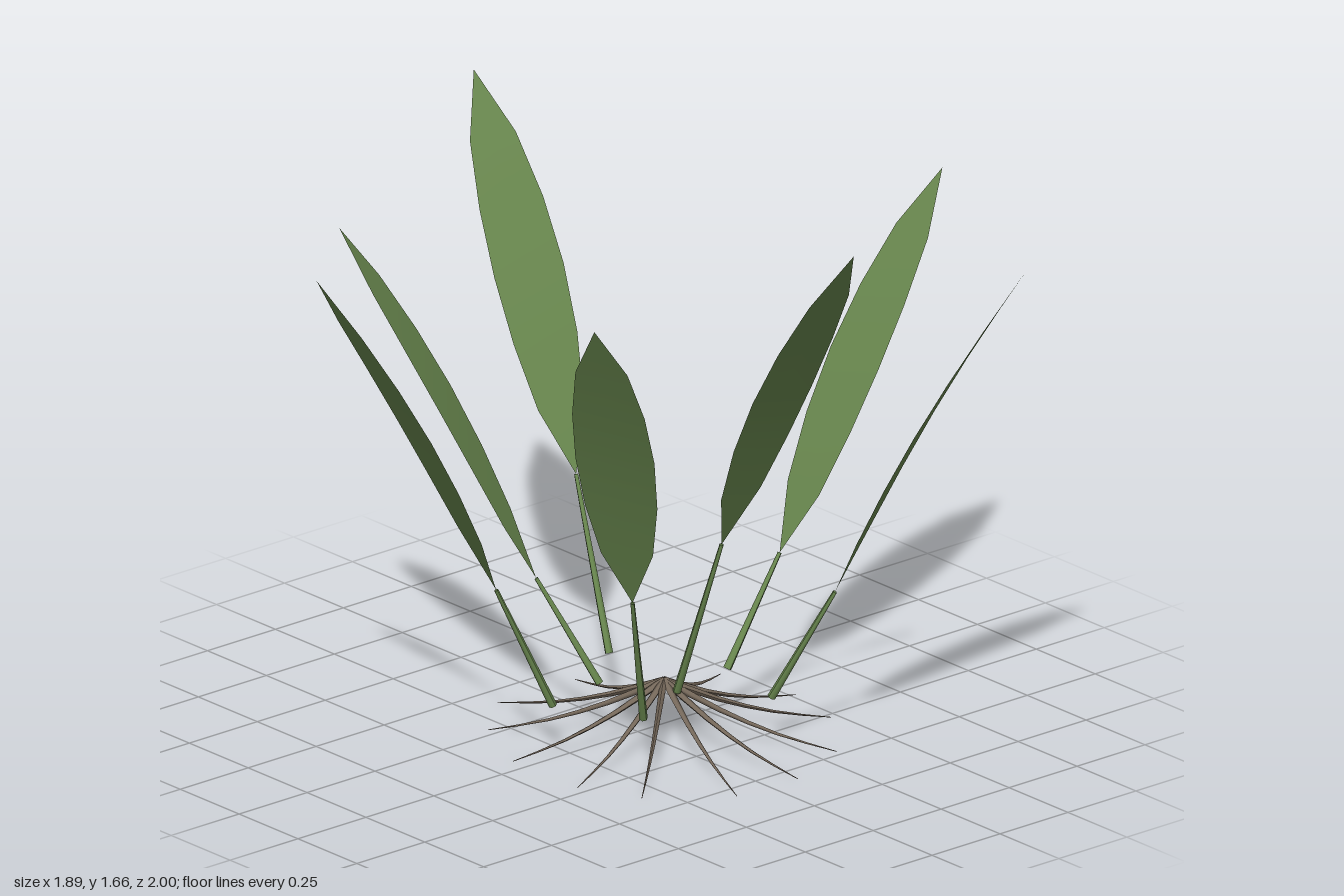
import * as THREE from 'three';

const V = (x, y, z) => new THREE.Vector3(x, y, z);
const UP = V(0, 1, 0);
const CROWN = V(0.06, 0.16, -0.045);

// each leaf: foot of the stalk, base of the blade, tip of the blade
const LEAVES = [
  [[0.08, 0.145, -0.26], [0.095, 0.45, -0.44], [0.14, 1.47, -1.0]],
  [[0.325, 0.145, -0.21], [0.48, 0.48, -0.31], [0.94, 1.5, -0.62]],
  [[0.12, 0.145, -0.04], [0.31, 0.64, -0.04], [0.86, 1.66, -0.05]],
  [[0.215, 0.145, 0.165], [0.33, 0.56, 0.305], [0.67, 1.58, 0.74]],
  [[-0.025, 0.145, 0.29], [-0.07, 0.52, 0.46], [-0.21, 1.54, 1.0]],
  [[-0.07, 0.145, 0.08], [-0.2, 0.45, 0.2], [-0.61, 1.47, 0.57]],
  [[-0.225, 0.145, -0.09], [-0.4, 0.62, -0.12], [-0.95, 1.64, -0.22]],
];

// direction (degrees from +x towards +z) and reach of each root
const ROOTS = [
  [18, 0.52], [48, 0.5], [71, 0.48], [104, 0.47], [134, 0.49], [158, 0.52],
  [190, 0.48], [240, 0.48], [272, 0.47], [296, 0.48], [327, 0.5], [354, 0.51],
];

// tube along a curve whose radius runs from r0 to r1
function taperedTube(curve, segments, r0, r1, sides) {
  const geo = new THREE.TubeGeometry(curve, segments, 1, sides);
  const pos = geo.attributes.position;
  const p = V(0, 0, 0);
  for (let i = 0; i < pos.count; i++) {
    const t = Math.floor(i / (sides + 1)) / segments;
    const c = curve.getPointAt(t);
    p.fromBufferAttribute(pos, i).sub(c).multiplyScalar(r0 + (r1 - r0) * t).add(c);
    pos.setXYZ(i, p.x, p.y, p.z);
  }
  geo.computeVertexNormals();
  return geo;
}

// pointed flat blade, bowed slightly upwards between base and tip
function bladeGeometry(base, tip) {
  const along = tip.clone().sub(base);
  const side = along.clone().cross(UP).normalize();
  const normal = side.clone().cross(along).normalize();
  const geo = new THREE.PlaneGeometry(1, 1, 2, 6);
  const pos = geo.attributes.position;
  for (let i = 0; i < pos.count; i++) {
    const t = pos.getY(i) + 0.5;
    const arch = Math.max(0, Math.sin(Math.PI * t));
    const p = base.clone().addScaledVector(along, t)
      .addScaledVector(normal, 0.025 * arch)
      .addScaledVector(side, pos.getX(i) * 2 * 0.112 * Math.pow(arch, 0.6));
    pos.setXYZ(i, p.x, p.y, p.z);
  }
  geo.computeVertexNormals();
  return geo;
}

export function createModel() {
  const model = new THREE.Group();
  model.name = 'plant';
  const leafMat = new THREE.MeshStandardMaterial({ color: 0x6b8a50, side: THREE.DoubleSide });
  const rootMat = new THREE.MeshStandardMaterial({ color: 0x75685a, side: THREE.DoubleSide });
  const add = (parent, name, geo, mat) => {
    const mesh = new THREE.Mesh(geo, mat);
    mesh.name = name;
    parent.add(mesh);
    return mesh;
  };

  // leaves on thin stalks
  LEAVES.forEach((points, i) => {
    const [foot, base, tip] = points.map((p) => V(...p));
    const leaf = new THREE.Group();
    leaf.name = `leaf${i + 1}`;
    add(leaf, 'stalk', taperedTube(new THREE.LineCurve3(foot, base), 1, 0.012, 0.006, 6), leafMat);
    add(leaf, 'blade', bladeGeometry(base, tip), leafMat);
    model.add(leaf);
  });

  // roots spreading from the crown down to the ground
  const roots = new THREE.Group();
  roots.name = 'roots';
  ROOTS.forEach(([deg, reach], i) => {
    const a = THREE.MathUtils.degToRad(deg);
    const at = (r, y) => V(CROWN.x + Math.cos(a) * r, y, CROWN.z + Math.sin(a) * r);
    const curve = new THREE.CatmullRomCurve3([
      CROWN.clone(), at(reach * 0.36, 0.082), at(reach * 0.68, 0.032), at(reach, 0.001),
    ]);
    add(roots, `root${i + 1}`, taperedTube(curve, 6, 0.011, 0.001, 5), rootMat);
  });
  model.add(roots);
  return model;
}
